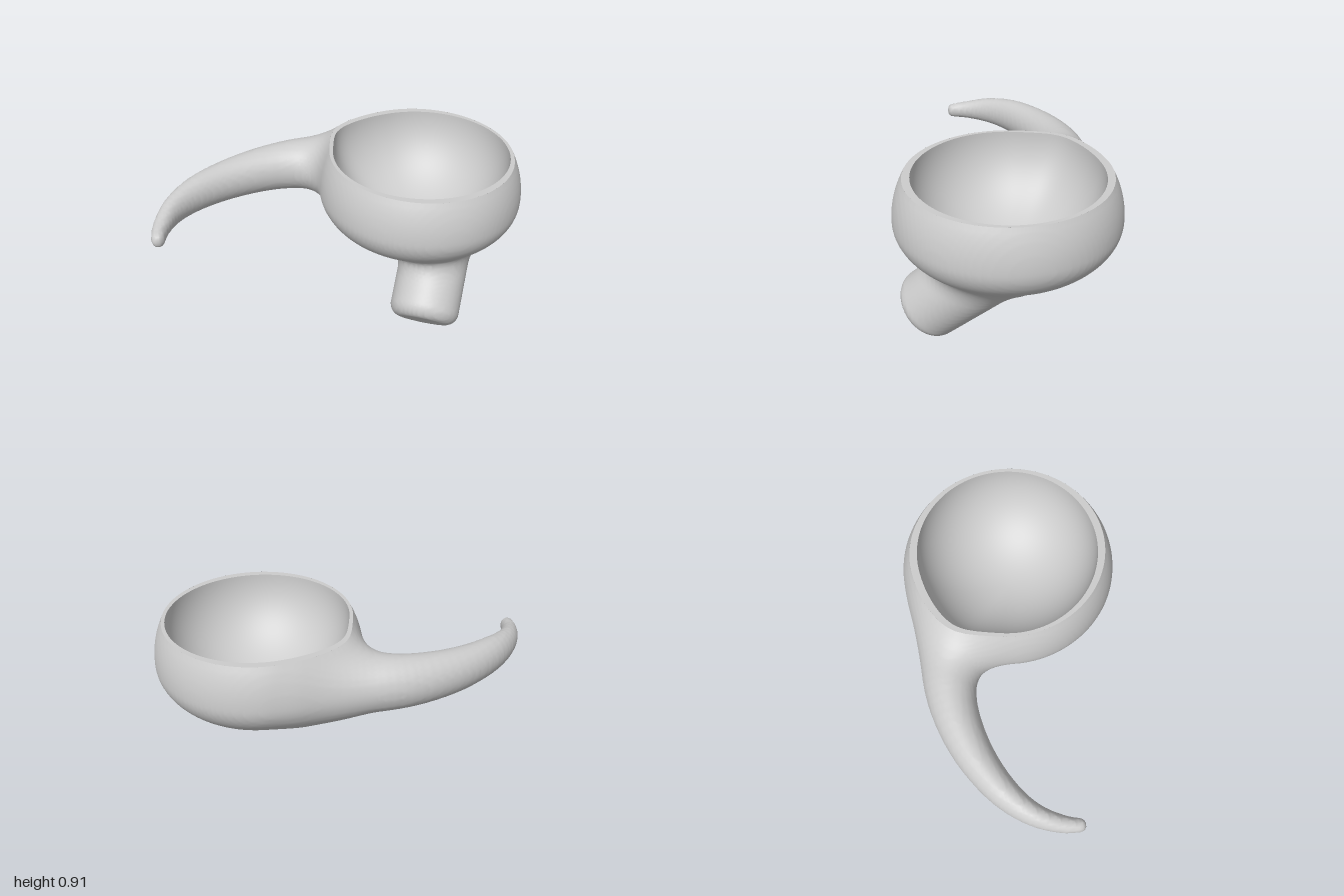
import * as THREE from 'three';
import { mergeVertices } from 'three/addons/utils/BufferGeometryUtils.js';

const V = (x, y, z) => new THREE.Vector3(x, y, z);
const TAU = Math.PI * 2;
const { clamp, lerp } = THREE.MathUtils;

// Bowl: two half ellipsoids joined at the widest level, cut open at the rim
const CENTER = V(0.457, 0.69, 0), RX = 0.543, RZ = 0.567, UP = 0.5, DOWN = 0.3;
const RIM_Y = 0.91, RIM_THETA = Math.acos((RIM_Y - CENTER.y) / UP);

// Horn: centre line with half width and half height at each point
const hornPath = new THREE.CatmullRomCurve3([
  V(0.24, 0.68, -0.33), V(0.11, 0.68, -0.37), V(-0.05, 0.685, -0.415), V(-0.25, 0.682, -0.43),
  V(-0.5, 0.677, -0.38), V(-0.73, 0.673, -0.27), V(-0.87, 0.662, -0.145), V(-0.945, 0.645, -0.01),
  V(-0.965, 0.638, 0.065)]);
const hornSize = new THREE.CatmullRomCurve3([
  V(0.16, 0.16, 0), V(0.17, 0.165, 0), V(0.146, 0.15, 0), V(0.122, 0.135, 0),
  V(0.1, 0.118, 0), V(0.077, 0.1, 0), V(0.057, 0.078, 0), V(0.043, 0.052, 0), V(0.035, 0.042, 0)]);
const hornNodes = Array.from({ length: 41 }, (_, i) => ({ c: hornPath.getPoint(i / 40), s: hornSize.getPoint(i / 40) }));

// Foot: a slanted peg with a rounded end
const FOOT_END = V(0.36, 0.105, 0.43), FOOT_AXIS = V(-0.38, -0.69, 0.62).normalize();
const FOOT_R = 0.187, FOOT_ROUND = 0.07, FOOT_LEN = 0.7;

// Approximate distance to each solid
function bowlField(p) {
  const x = p.x - CENTER.x, y = p.y - CENTER.y, h = y > 0 ? UP : DOWN;
  const k0 = Math.hypot(x / RX, y / h, p.z / RZ);
  const k1 = Math.hypot(x / RX ** 2, y / h ** 2, p.z / RZ ** 2);
  return k0 * (k0 - 1) / Math.max(k1, 1e-6);
}
function hornField(p) {
  let best = Infinity;
  for (let i = 0; i < 40; i++) {
    const a = hornNodes[i], b = hornNodes[i + 1];
    const dx = b.c.x - a.c.x, dz = b.c.z - a.c.z;
    const t = clamp(((p.x - a.c.x) * dx + (p.z - a.c.z) * dz) / (dx * dx + dz * dz), 0, 1);
    const w = lerp(a.s.x, b.s.x, t), h = lerp(a.s.y, b.s.y, t);
    const x = p.x - a.c.x - dx * t, y = (p.y - lerp(a.c.y, b.c.y, t)) * w / h, z = p.z - a.c.z - dz * t;
    best = Math.min(best, Math.sqrt(x * x + y * y + z * z) - w);
  }
  return best;
}
function footField(p) {
  const q = p.clone().sub(FOOT_END), t = q.dot(FOOT_AXIS);
  const r = q.addScaledVector(FOOT_AXIS, -t).length() - FOOT_R + FOOT_ROUND;
  const l = Math.abs(t + FOOT_LEN / 2) - FOOT_LEN / 2 + FOOT_ROUND;
  return Math.hypot(Math.max(r, 0), Math.max(l, 0)) + Math.min(Math.max(r, l), 0) - FOOT_ROUND;
}
function blend(a, b, k) {
  const h = Math.max(k - Math.abs(a - b), 0) / k;
  return Math.min(a, b) - h * h * k / 4;
}
const field = (p) => blend(blend(bowlField(p), hornField(p), 0.18), footField(p), 0.12);

// Slide a point onto the softly blended surface, optionally keeping its height
function settle(p, keepHeight = false) {
  const e = 0.002;
  for (let i = 0; i < 10; i++) {
    const f = field(p);
    if (Math.abs(f) < 0.0002) break;
    const g = V(
      field(V(p.x + e, p.y, p.z)) - field(V(p.x - e, p.y, p.z)),
      keepHeight ? 0 : field(V(p.x, p.y + e, p.z)) - field(V(p.x, p.y - e, p.z)),
      field(V(p.x, p.y, p.z + e)) - field(V(p.x, p.y, p.z - e))).divideScalar(2 * e);
    const step = clamp(f / Math.max(g.length(), 0.2), -0.03, 0.03);
    p.addScaledVector(g.normalize(), -step);
  }
  return p;
}

// Outer skin: a net of quads over the blended solids, open at the rim, split by part
function skinParts(material) {
  const cell = 0.0175, n = [120, 54, 72];
  const origin = V(-1.04, RIM_Y - n[1] * cell, -0.63);
  const id = (c) => (c[0] * (n[1] + 1) + c[1]) * (n[2] + 1) + c[2];
  const at = (c) => V(c[0], c[1], c[2]).multiplyScalar(cell).add(origin);
  const eachCell = (size, visit) => {
    for (let i = 0; i < size[0]; i++)
      for (let j = 0; j < size[1]; j++)
        for (let k = 0; k < size[2]; k++) visit([i, j, k]);
  };
  const shift = (c, axis, d) => c.map((v, i) => (i === axis ? v + d : v));

  const values = new Float32Array((n[0] + 1) * (n[1] + 1) * (n[2] + 1));
  eachCell(n.map((v) => v + 1), (c) => { values[id(c)] = field(at(c)); });

  // One point in every cell that the surface crosses
  const corners = Array.from({ length: 8 }, (_, b) => [b & 1, (b >> 1) & 1, b >> 2]);
  const vertexOf = new Map(), points = [];
  eachCell(n, (c) => {
    const grid = corners.map((o) => c.map((v, i) => v + o[i]));
    const f = grid.map((g) => values[id(g)]);
    const sum = V(0, 0, 0);
    let hits = 0;
    for (let b = 0; b < 8; b++)
      for (const bit of [1, 2, 4]) {
        const o = b | bit;
        if (o === b || (f[b] < 0) === (f[o] < 0)) continue;
        sum.add(at(grid[b]).lerp(at(grid[o]), f[b] / (f[b] - f[o])));
        hits++;
      }
    if (!hits) return;
    const p = sum.divideScalar(hits), atRim = c[1] === n[1] - 1;
    if (atRim) p.y = RIM_Y;
    vertexOf.set(id(c), points.length);
    points.push(settle(p, atRim));
  });

  // One quad around every crossed grid edge
  const lists = { bowl: [], horn: [], foot: [] };
  eachCell(n, (c) => {
    for (let a = 0; a < 3; a++) {
      const b = (a + 1) % 3, d = (a + 2) % 3;
      const inside = values[id(c)] < 0;
      if (inside === values[id(shift(c, a, 1))] < 0 || !c[b] || !c[d]) continue;
      const back = shift(c, b, -1);
      const q = [shift(back, d, -1), shift(c, d, -1), c, back].map((v) => vertexOf.get(id(v)));
      if (!inside) q.reverse();
      const p = points[q[0]], h = hornField(p), t = footField(p), w = bowlField(p);
      const part = w <= Math.min(h, t) ? 'bowl' : h < t ? 'horn' : 'foot';
      lists[part].push(q[0], q[1], q[2], q[0], q[2], q[3]);
    }
  });

  // Shared smooth normals keep the joints between parts invisible
  const whole = new THREE.BufferGeometry().setFromPoints(points);
  whole.setIndex(Object.values(lists).flat());
  whole.computeVertexNormals();
  return Object.entries(lists).map(([name, index]) => {
    const geo = new THREE.BufferGeometry();
    geo.setAttribute('position', whole.attributes.position);
    geo.setAttribute('normal', whole.attributes.normal);
    geo.setIndex(index);
    const mesh = new THREE.Mesh(geo, material);
    mesh.name = name;
    return mesh;
  });
}

// Closed-loop surface: rows along the part, columns around it
function loft(name, rows, cols, pointAt, material) {
  const pos = [], index = [];
  for (let i = 0; i <= rows; i++)
    for (let j = 0; j < cols; j++) pos.push(...pointAt(i, (j / cols) * TAU).toArray());
  for (let i = 0; i < rows; i++)
    for (let j = 0; j < cols; j++) {
      const k = (j + 1) % cols, a = i * cols + j, b = a + cols, c = i * cols + k, d = c + cols;
      index.push(a, b, c, b, d, c);
    }
  let geo = new THREE.BufferGeometry();
  geo.setAttribute('position', new THREE.Float32BufferAttribute(pos, 3));
  geo.setIndex(index);
  geo = mergeVertices(geo, 1e-5);
  geo.computeVertexNormals();
  const mesh = new THREE.Mesh(geo, material);
  mesh.name = name;
  return mesh;
}

export function createModel() {
  const group = new THREE.Group();
  const grey = new THREE.MeshStandardMaterial({ color: 0xcccccc, side: THREE.DoubleSide });
  grey.name = 'plain grey';

  // Bowl, horn and foot, flowing into one another
  group.add(...skinParts(grey));

  // Flat rim and round hollow, both following the swelling beside the horn
  const rows = 40, cols = 120, DEPTH = 0.44, INNER = 0.47;
  const rimX = RX * Math.sin(RIM_THETA), rimZ = RZ * Math.sin(RIM_THETA);
  const plainRim = (a) => V(CENTER.x + rimX * Math.cos(a), RIM_Y, rimZ * Math.sin(a));
  const outerRim = (a) => settle(plainRim(a), true);
  const innerPoint = (i, a) => {
    const phi = i / rows * Math.PI / 2, r = INNER * Math.cos(phi);
    return V(CENTER.x + r * Math.cos(a), RIM_Y - DEPTH * Math.sin(phi), r * Math.sin(a))
      .addScaledVector(outerRim(a).sub(plainRim(a)), Math.cos(phi));
  };
  group.add(loft('rim', 1, cols, (i, a) => (i ? innerPoint(0, a) : outerRim(a)), grey));
  group.add(loft('cavity', rows, cols, innerPoint, grey));

  return group;
}
